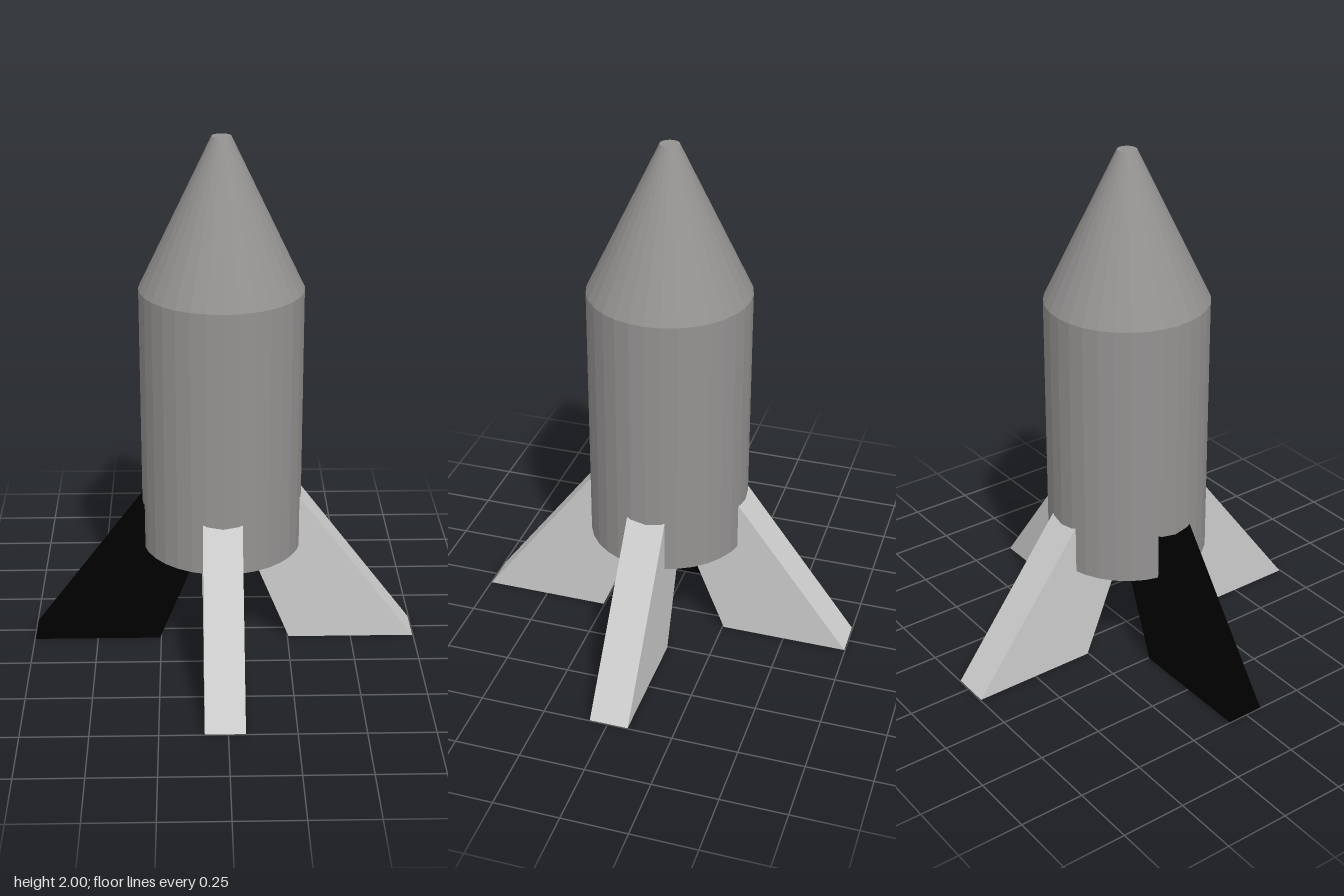
import * as THREE from 'three';

const mat = (name, color) => {
  const m = new THREE.MeshStandardMaterial({ color, flatShading: true });
  m.name = name;
  return m;
};

export function createModel() {
  const group = new THREE.Group();
  const bodyGrey = mat('bodyGrey', 0x949291);
  const finGrey = mat('finGrey', 0xcccccc);
  const black = mat('black', 0x000000);
  const cx = -0.009, cz = -0.005, sides = 32;

  const add = (name, geometry, material) => {
    const mesh = new THREE.Mesh(geometry, material);
    mesh.name = name;
    group.add(mesh);
    return mesh;
  };

  // Straight hull
  add('hull', new THREE.CylinderGeometry(0.307, 0.307, 1.03, sides), bodyGrey)
    .position.set(cx, 0.92, cz);

  // Blunt nose cone
  add('noseCone', new THREE.CylinderGeometry(0.036, 0.307, 0.565, sides, 1), bodyGrey)
    .position.set(cx, 1.7175, cz);

  // Swept fin profile, running into the hull
  const profile = new THREE.Shape([
    [0.255, 0], [0.747, 0], [0.297, 0.6], [0.16, 0.783], [0.05, 0.783], [0.05, 0.505],
  ].map(([x, y]) => new THREE.Vector2(x, y)));
  const thickness = 0.148;
  const finGeometry = new THREE.ExtrudeGeometry(profile, { depth: thickness, bevelEnabled: false });
  finGeometry.translate(0, 0, -thickness / 2);

  // Four fins: name, turn about y, sideways offset, colour
  const fins = [
    ['leftFin', 0, 0, -0.004, finGrey],
    ['backFin', Math.PI / 2, -0.011, 0, finGrey],
    ['rightFin', Math.PI, 0, -0.004, black],
    ['frontFin', -Math.PI / 2, -0.011, 0, finGrey],
  ];
  for (const [name, turn, x, z, material] of fins) {
    const fin = add(name, finGeometry, material);
    fin.rotation.y = turn;
    fin.position.set(x, 0, z);
  }
  return group;
}
